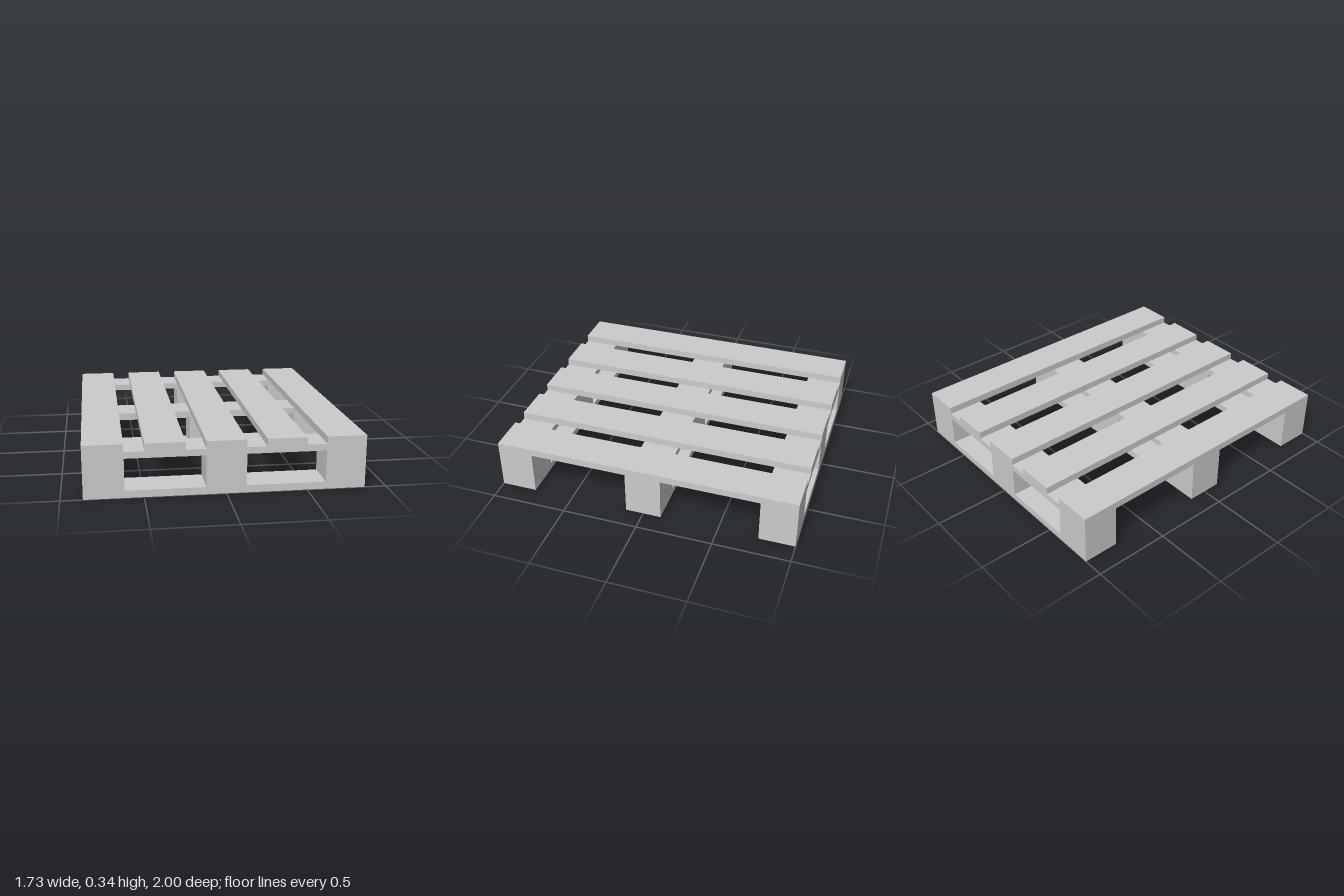
import * as THREE from 'three';

const HALF_W = 0.865, LENGTH = 2, HEIGHT = 0.335;
const FRAME_TOP = 0.288;   // underside of the deck slats
const FRAME_DEPTH = 0.236;
const SLAT_W = 0.247;

// Rectangle traced into a shape or hole path
function rect(path, x0, y0, x1, y1) {
  path.moveTo(x0, y0);
  path.lineTo(x1, y0);
  path.lineTo(x1, y1);
  path.lineTo(x0, y1);
  path.closePath();
  return path;
}

export function createModel() {
  const pallet = new THREE.Group();
  pallet.name = 'pallet';
  const material = new THREE.MeshStandardMaterial({ color: 0xcccccc, flatShading: true });

  // Cross frame: bottom runner, three blocks and top board around two fork openings
  const profile = rect(new THREE.Shape(), -HALF_W, 0, HALF_W, FRAME_TOP);
  profile.holes.push(
    rect(new THREE.Path(), -0.617, 0.046, -0.124, 0.246),
    rect(new THREE.Path(), 0.124, 0.046, 0.617, 0.246)
  );
  const frameGeometry = new THREE.ExtrudeGeometry(profile, { depth: FRAME_DEPTH, bevelEnabled: false });
  frameGeometry.translate(0, 0, -FRAME_DEPTH / 2);

  const frameZ = (LENGTH - FRAME_DEPTH) / 2;
  [['backFrame', -frameZ], ['middleFrame', 0], ['frontFrame', frameZ]].forEach(([name, z]) => {
    const frame = new THREE.Mesh(frameGeometry, material);
    frame.name = name;
    frame.position.z = z;
    pallet.add(frame);
  });

  // Deck slats, evenly spaced across the width
  const slatGeometry = new THREE.BoxGeometry(SLAT_W, HEIGHT - FRAME_TOP, LENGTH);
  const pitch = (HALF_W - SLAT_W / 2) / 2;
  for (let i = -2; i <= 2; i++) {
    const slat = new THREE.Mesh(slatGeometry, material);
    slat.name = `deckSlat${i + 3}`;
    slat.position.set(i * pitch, (HEIGHT + FRAME_TOP) / 2, 0);
    pallet.add(slat);
  }

  return pallet;
}
